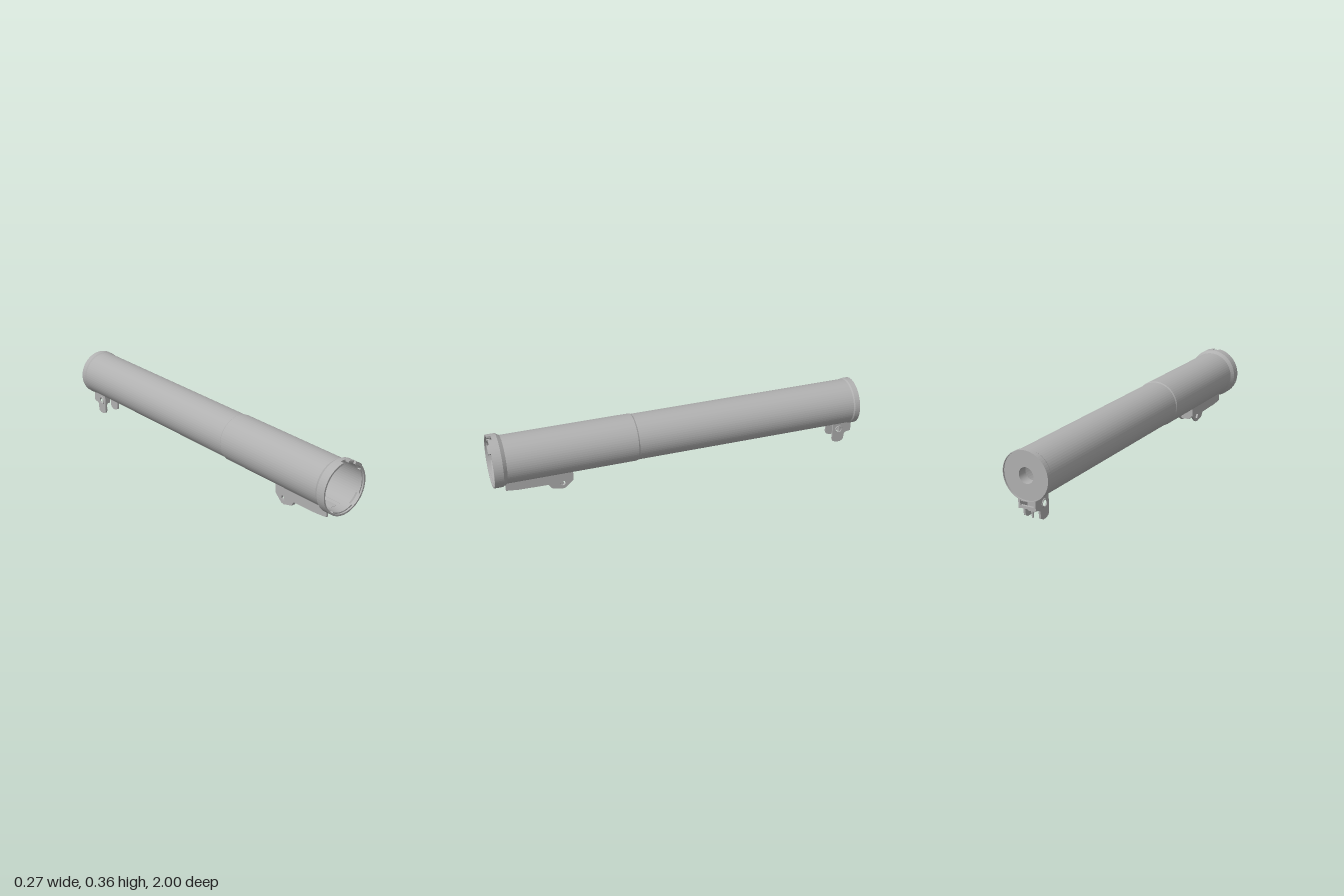
import * as THREE from 'three';

const AXIS_Y = 0.228;
const metal = new THREE.MeshStandardMaterial({ color: 0xb0b0b0, flatShading: true });
metal.name = 'grey metal';

export function createModel() {
  const model = new THREE.Group();

  function add(geometry, name, x = 0, y = 0, z = 0, parent = model) {
    const mesh = new THREE.Mesh(geometry, metal);
    mesh.name = name;
    mesh.position.set(x, y, z);
    parent.add(mesh);
    return mesh;
  }

  // Turned part along z; points are [radius, z], angles run from the top towards +x
  function turned(points, name, from = 0, to = 360, segments = 64) {
    const rad = Math.PI / 180;
    const g = new THREE.LatheGeometry(
      points.map(p => new THREE.Vector2(p[0], p[1])), segments,
      Math.PI - to * rad, (to - from) * rad);
    g.rotateX(Math.PI / 2);
    return add(g, name, 0, AXIS_Y, 0);
  }

  // Turned arc with a rectangular section and closed ends
  function arcBlock(r0, r1, z0, z1, from, to, name, steps) {
    const shape = new THREE.Shape();
    const a0 = Math.PI / 2 - to * Math.PI / 180;
    const a1 = Math.PI / 2 - from * Math.PI / 180;
    shape.absarc(0, 0, r1, a0, a1, false);
    shape.absarc(0, 0, r0, a1, a0, true);
    const g = new THREE.ExtrudeGeometry(shape, { depth: z1 - z0, bevelEnabled: false, curveSegments: steps });
    add(g, name, 0, AXIS_Y, z0);
  }

  // Side plate: profile points are [z, y], from x0 to x0 + thickness
  function plate(points, holes, x0, thickness, name, parent) {
    const shape = new THREE.Shape(points.map(p => new THREE.Vector2(p[0], p[1])));
    shape.holes.push(...holes);
    const g = new THREE.ExtrudeGeometry(shape, { depth: thickness, bevelEnabled: false, curveSegments: 12 });
    g.rotateY(-Math.PI / 2);
    add(g, name, x0 + thickness, 0, 0, parent);
  }

  function box(w, h, d, name, x, y, z, parent) {
    return add(new THREE.BoxGeometry(w, h, d), name, x, y, z, parent);
  }

  // Stepped hollow tube with a thick rear wall and a central bore
  turned([
    [0.04, -0.992], [0.121, -0.992], [0.121, -1], [0.124, -1], [0.124, -0.972],
    [0.12, -0.965], [0.12, 0.235], [0.124, 0.242], [0.124, 0.92],
    [0.137, 0.94], [0.137, 0.966], [0.128, 0.966], [0.122, 0.96],
    [0.122, 0.242], [0.117, 0.235], [0.117, -0.93],
    [0.05, -0.93], [0.04, -0.94], [0.04, -0.992],
  ], 'tube');

  // Front lip with a notch at the top, and a raised locating tab
  arcBlock(0.128, 0.137, 0.966, 0.987, 7, 353, 'frontLip', 64);
  arcBlock(0.123, 0.137, 0.987, 1, 22, 43, 'locatingTab', 6);
  // Inner ledges of the lip
  for (const a of [60, 150, 240]) {
    arcBlock(0.122, 0.129, 0.96, 0.978, a, a + 60, 'innerLedge', 12);
  }

  // Front bracket: long rails that deepen into lugs
  const front = new THREE.Group();
  front.name = 'frontBracket';
  model.add(front);
  const railProfile = [
    [0.925, 0.113], [0.925, 0.07], [0.86, 0.063], [0.705, 0.06], [0.69, 0.036],
    [0.635, 0.022], [0.618, 0.026], [0.575, 0.066], [0.575, 0.113],
  ];
  const slot = () => new THREE.Path([
    [0.648, 0.062], [0.622, 0.067], [0.617, 0.05], [0.63, 0.04], [0.64, 0.045],
  ].map(p => new THREE.Vector2(p[0], p[1])));
  for (const s of [-1, 1]) {
    plate(railProfile, [slot()], s > 0 ? 0.038 : -0.05, 0.012, 'frontRail', front);
    box(0.01, 0.02, 0.07, 'lugPad', s * 0.034, 0.05, 0.66, front);
  }
  box(0.078, 0.022, 0.34, 'frontWeb', 0, 0.097, 0.75, front);
  // Tapered wall that closes the rear end of the rails
  const wall = new THREE.Shape([
    [-0.038, 0.09], [-0.034, 0.055], [-0.022, 0.042],
    [0.022, 0.042], [0.034, 0.055], [0.038, 0.09],
  ].map(p => new THREE.Vector2(p[0], p[1])));
  add(new THREE.ExtrudeGeometry(wall, { depth: 0.012, bevelEnabled: false }), 'endWall', 0, 0, 0.59, front);

  // Rear bracket: two rounded ears with pivot holes
  const rear = new THREE.Group();
  rear.name = 'rearBracket';
  model.add(rear);
  const earProfile = [
    [-0.887, 0.118], [-0.887, 0.022], [-0.893, 0.01], [-0.91, 0.002], [-0.935, 0.002],
    [-0.952, 0.012], [-0.957, 0.05], [-0.965, 0.058], [-0.993, 0.062], [-0.993, 0.118],
  ];
  for (const s of [-1, 1]) {
    const hole = new THREE.Path();
    hole.absarc(-0.922, 0.08, 0.016, 0, Math.PI * 2, true);
    plate(earProfile, [hole], s > 0 ? 0.037 : -0.048, 0.011, 'ear', rear);
    const ring = new THREE.TorusGeometry(0.019, 0.004, 6, 20);
    ring.rotateY(Math.PI / 2);
    add(ring, 'pivotRing', s * 0.048, 0.08, -0.922, rear);
  }
  box(0.08, 0.02, 0.1, 'rearWeb', 0, 0.108, -0.94, rear);
  box(0.08, 0.014, 0.012, 'rearCrossBar', 0, 0.07, -0.985, rear);
  box(0.04, 0.06, 0.02, 'latchBlock', 0, 0.072, -0.95, rear);
  add(new THREE.CylinderGeometry(0.005, 0.005, 0.04, 10), 'latchPin', 0, 0.027, -0.95, rear);
  add(new THREE.CylinderGeometry(0.008, 0.008, 0.01, 10), 'latchCollar', 0, 0.038, -0.95, rear);

  return model;
}
